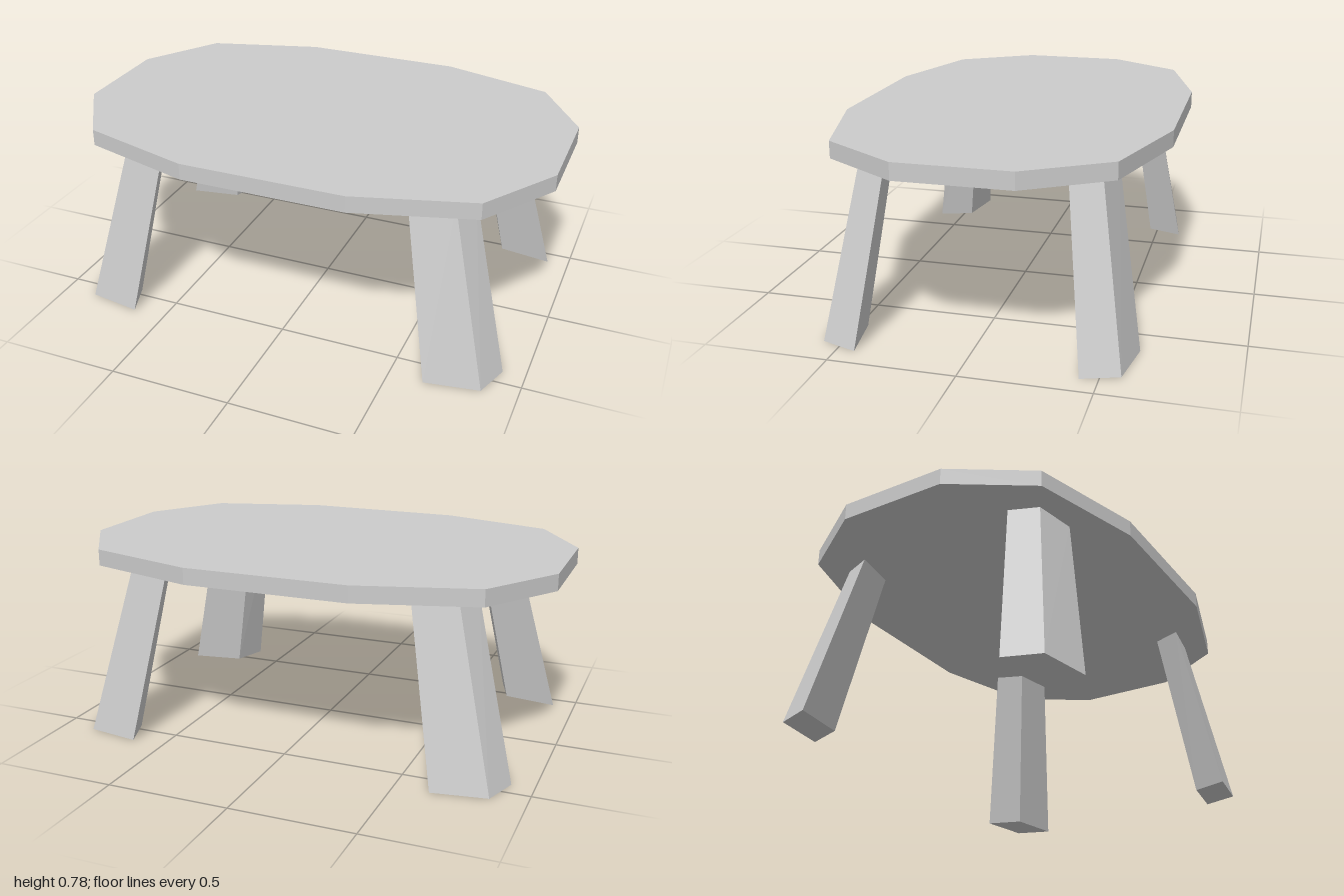
import * as THREE from 'three';

const UNDERSIDE = 0.715;
const TOP = 0.782;

// Leg cross-sections: centre plus two half-axes (x, z), for the +x +z leg
const FOOT = { c: [0.775, 0.52], u: [0.11, -0.0175], v: [-0.025, 0.0725] };
const HEAD = { c: [0.622, 0.417], u: [0.0875, -0.015], v: [-0.0225, 0.058] };

// Splayed, tapered leg: a box with its corners moved onto the two sections
function legGeometry(mx, mz) {
  const geo = new THREE.BoxGeometry(2, 2, 2);
  const p = geo.attributes.position;
  for (let i = 0; i < p.count; i++) {
    const s = p.getY(i) > 0 ? HEAD : FOOT;
    const u = p.getX(i) * mx, v = p.getZ(i) * mz;
    p.setXYZ(
      i,
      mx * (s.c[0] + u * s.u[0] + v * s.v[0]),
      s === HEAD ? UNDERSIDE : 0,
      mz * (s.c[1] + u * s.u[1] + v * s.v[1])
    );
  }
  geo.computeVertexNormals();
  return geo;
}

// Twelve-sided oval slab
function topGeometry() {
  const quarter = [[1, 0.222], [0.8, 0.533], [0.335, 0.666]];
  const half = [...quarter, ...quarter.map(([x, z]) => [-x, z]).reverse()];
  const outline = [...half, ...half.map(([x, z]) => [-x, -z])];
  const shape = new THREE.Shape(outline.map(([x, z]) => new THREE.Vector2(x, z)));
  const geo = new THREE.ExtrudeGeometry(shape, { depth: TOP - UNDERSIDE, bevelEnabled: false });
  return geo.rotateX(-Math.PI / 2).translate(0, UNDERSIDE, 0);
}

export function createModel() {
  const model = new THREE.Group();
  model.name = 'table';
  const material = new THREE.MeshStandardMaterial({ color: 0xcccccc, flatShading: true });

  const add = (name, geometry) => {
    const mesh = new THREE.Mesh(geometry, material);
    mesh.name = name;
    model.add(mesh);
  };

  add('tableTop', topGeometry());
  for (const mx of [1, -1]) {
    for (const mz of [1, -1]) {
      add((mz > 0 ? 'front' : 'back') + (mx > 0 ? 'Left' : 'Right') + 'Leg', legGeometry(mx, mz));
    }
  }
  return model;
}
